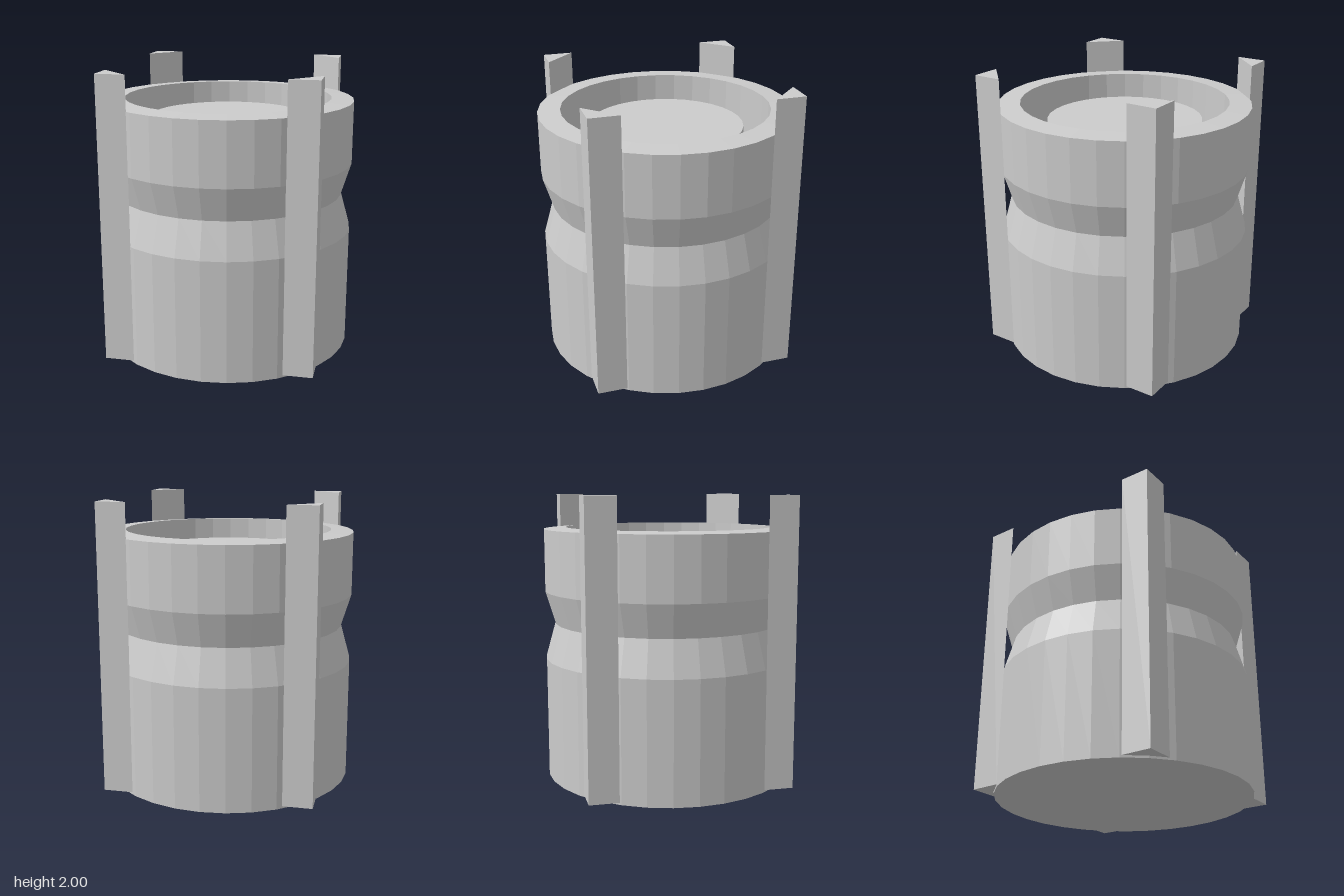
import * as THREE from 'three';

const material = new THREE.MeshStandardMaterial({ color: 0xcccccc, flatShading: true });

function addMesh(parent, name, geometry) {
  const mesh = new THREE.Mesh(geometry, material);
  mesh.name = name;
  parent.add(mesh);
  return mesh;
}

// Triangular prism filling one square corner outside the drum
function cornerPost(sx, sz) {
  const shape = new THREE.Shape([
    [0.725, 0.705], [0.52, 0.705], [0.725, 0.5],
  ].map(([x, z]) => new THREE.Vector2(x * sx, -z * sz)));
  const geometry = new THREE.ExtrudeGeometry(shape, { depth: 1.985, bevelEnabled: false });
  geometry.rotateX(-Math.PI / 2);
  geometry.translate(0, 0.015, 0);
  return geometry;
}

export function createModel() {
  const model = new THREE.Group();
  model.name = 'groovedDrum';

  // Drum: base, waist groove, sloped rim, ring-shaped recess and raised centre
  const profile = [
    [0, 0], [0.88, 0], [0.88, 0.85], [0.81, 1.1], [0.88, 1.33], [0.88, 1.763],
    [0.725, 1.775], [0.725, 1.3], [0.542, 1.35], [0.542, 1.645], [0, 1.645],
  ].map(([r, y]) => new THREE.Vector2(r, y));
  addMesh(model, 'drum', new THREE.LatheGeometry(profile, 32));

  // Four corner posts
  const posts = new THREE.Group();
  posts.name = 'cornerPosts';
  for (const [sx, side] of [[1, 'Left'], [-1, 'Right']]) {
    for (const [sz, end] of [[1, 'front'], [-1, 'back']]) {
      addMesh(posts, `${end}${side}Post`, cornerPost(sx, sz));
    }
  }
  model.add(posts);
  return model;
}
